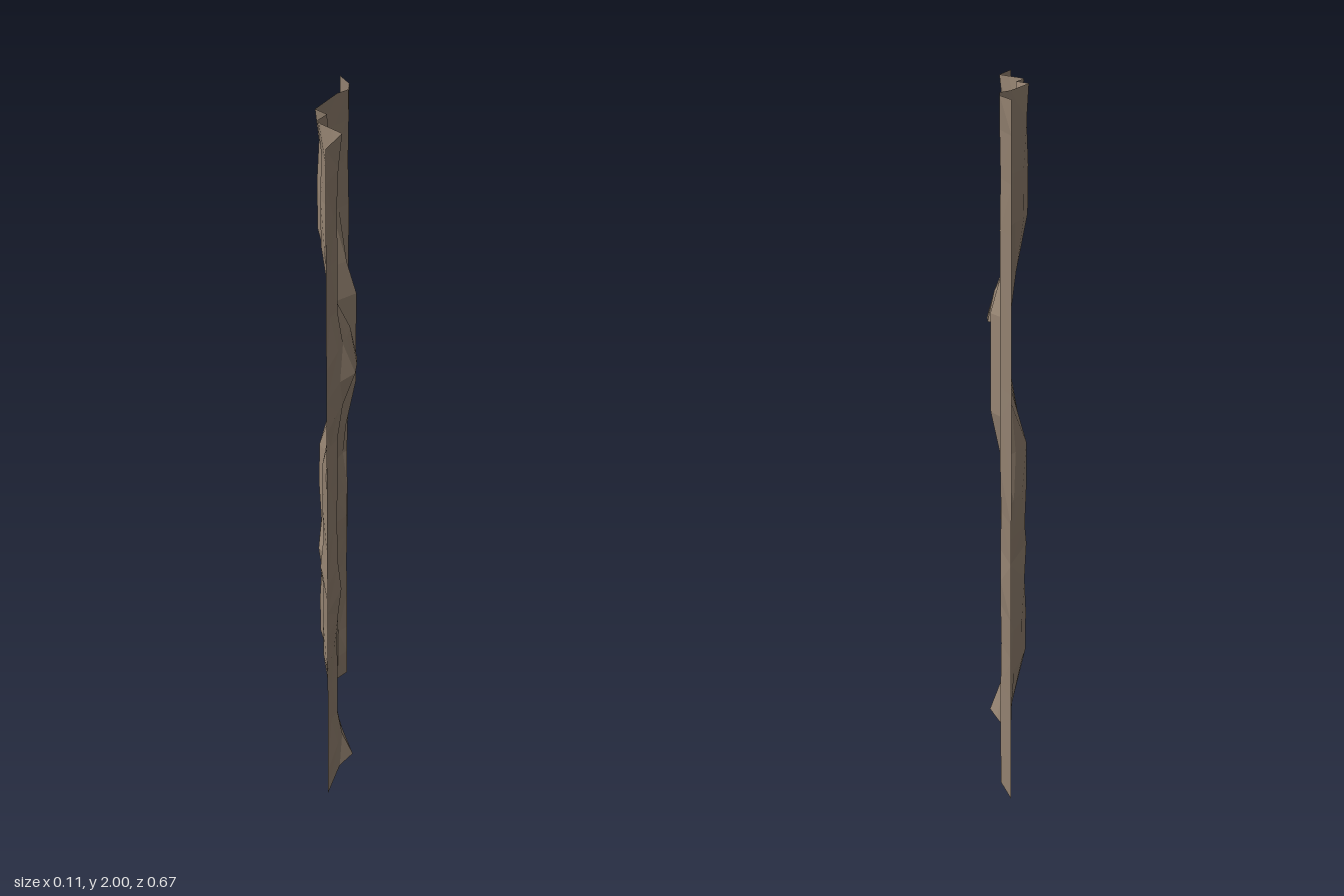
import * as THREE from 'three';

// One tile of rough bark: height, then [z, x] knots running from front edge to back edge
const TILE = [
  { y: 0.0, knots: [[.21, .017], [.155, .055], [.10, .033], [.055, .013], [.02, .0], [-.01, -.01], [-.11, -.012], [-.16, -.012], [-.215, -.012], [-.25, .018]] },
  { y: 0.09, knots: [[.21, .012], [.165, .022], [.12, .014], [.06, .0], [.02, -.008], [-.01, -.011], [-.12, -.012], [-.16, -.012], [-.215, -.011], [-.25, .018]] },
  { y: 0.19, knots: [[.22, -.008], [.18, .008], [.145, -.012], [.06, -.014], [.005, -.011], [-.004, -.014], [-.12, -.015], [-.16, -.013], [-.222, -.01], [-.252, .018]] },
  { y: 0.33, knots: [[.22, -.008], [.165, .008], [.145, -.026], [.08, -.04], [.02, -.025], [-.04, -.056], [-.1, -.045], [-.16, -.022], [-.21, -.008], [-.25, .018]] },
  { y: 0.46, knots: [[.22, .0], [.172, .006], [.15, -.018], [.09, -.04], [.018, -.025], [-.03, -.057], [-.1, -.044], [-.16, -.02], [-.222, .004], [-.235, .016]] },
  { y: 0.58, knots: [[.21, .012], [.18, .0], [.14, -.025], [.08, -.038], [.018, -.022], [-.02, -.05], [-.06, -.052], [-.155, -.015], [-.2, .012], [-.225, .018]] },
  { y: 0.667, knots: [[.207, .021], [.17, -.005], [.13, -.035], [.115, -.042], [.1, -.046], [.045, -.025], [0, -.058], [-.15, -.01], [-.19, .018], [-.25, .018]] },
];
const TILE_HEIGHT = 2 / 3;
const EDGE_X = -0.012, HALF_DEPTH = 0.333;

// Cross-sections stacked from bottom to top; the middle tile is mirrored upside down
function buildRows() {
  const rows = [];
  for (let t = 0; t < 3; t++) {
    const flipped = t === 1;
    const list = flipped ? [...TILE].reverse() : TILE;
    list.forEach((section, i) => {
      const y = t * TILE_HEIGHT + (flipped ? TILE_HEIGHT - section.y : section.y);
      const k = section.knots.map((p) => [...p]);
      // bulge above the upper seam
      if (t === 2 && i === 0) { k[2] = [.10, .057]; k[3] = [.055, .055]; k[4] = [.03, .01]; }
      if (t === 2 && i === 1) { k[2] = [.12, .03]; k[3] = [.055, .036]; k[4] = [.02, -.002]; }
      // long raised ridge near the back edge
      if (y > 0.98 && y < 1.53) {
        const end = y < 1.02 || y > 1.5;
        k[6] = end ? [-.12, -.025] : [-.113, -.013];
        k[7] = end ? [-.165, .016] : [-.175, .044];
        k[8] = [-.222, .01];
      }
      rows.push([[HALF_DEPTH, EDGE_X], ...k, [-HALF_DEPTH, EDGE_X]]
        .map(([z, x]) => new THREE.Vector3(x, Math.min(y, 2), z)));
    });
  }
  return rows;
}

// Faceted skin between neighbouring cross-sections
function skin(rows) {
  const points = [];
  for (let r = 0; r < rows.length - 1; r++) {
    for (let c = 0; c < rows[r].length - 1; c++) {
      const a = rows[r][c], b = rows[r][c + 1], d = rows[r + 1][c], e = rows[r + 1][c + 1];
      // split each patch along its shorter diagonal
      points.push(...(a.distanceTo(e) < b.distanceTo(d) ? [a, b, e, a, e, d] : [a, b, d, b, e, d]));
    }
  }
  const geometry = new THREE.BufferGeometry().setFromPoints(points);
  geometry.computeVertexNormals();
  return geometry;
}

export function createModel() {
  const group = new THREE.Group();
  group.name = 'barkPanel';
  const material = new THREE.MeshStandardMaterial({ color: 0x988674, flatShading: true, side: THREE.DoubleSide });
  const bark = new THREE.Mesh(skin(buildRows()), material);
  bark.name = 'barkSurface';
  group.add(bark);
  return group;
}
